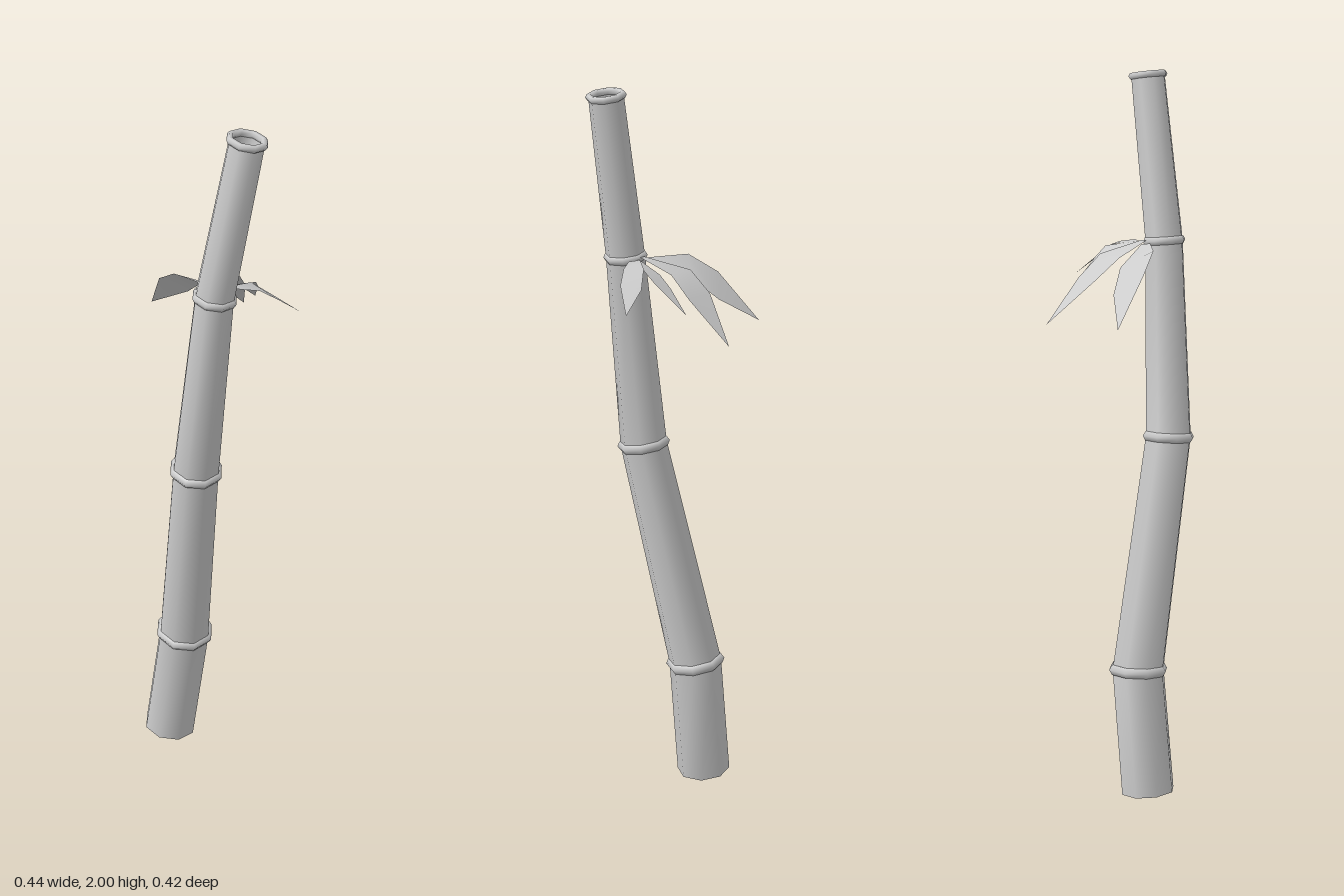
import * as THREE from 'three';

const SIDES = 8, PHASE = 0.28;
const UP = new THREE.Vector3(0, 1, 0);
const grey = new THREE.MeshStandardMaterial({ color: 0xcccccc });
const leafGrey = new THREE.MeshStandardMaterial({ color: 0xcccccc, side: THREE.DoubleSide });

function makeGeometry(points, index) {
  const g = new THREE.BufferGeometry().setFromPoints(points);
  g.setIndex(index);
  g.computeVertexNormals();
  return g;
}

// Octagonal tube through stations { p, axis, r }
function loft(stations) {
  const points = [], index = [];
  for (const { p, axis, r } of stations) {
    const q = new THREE.Quaternion().setFromUnitVectors(UP, axis);
    for (let i = 0; i < SIDES; i++) {
      const a = PHASE + (i / SIDES) * Math.PI * 2;
      points.push(new THREE.Vector3(Math.cos(a) * r, 0, Math.sin(a) * r).applyQuaternion(q).add(p));
    }
  }
  for (let s = 0; s < stations.length - 1; s++) {
    for (let i = 0; i < SIDES; i++) {
      const a = s * SIDES + i, b = s * SIDES + (i + 1) % SIDES;
      index.push(a, a + SIDES, b, b, a + SIDES, b + SIDES);
    }
  }
  return makeGeometry(points, index);
}

// Flat octagon closing a tube; tilt is the direction it faces
function disc(p, axis, r, down) {
  const g = new THREE.CircleGeometry(r, SIDES, PHASE);
  g.rotateX(-Math.PI / 2);
  g.scale(1, 1, 1);
  g.rotateY(-2 * PHASE);
  if (down) g.rotateX(Math.PI);
  if (down) g.rotateY(-2 * PHASE);
  g.applyQuaternion(new THREE.Quaternion().setFromUnitVectors(UP, axis));
  return g.translate(p.x, p.y, p.z);
}

// Leaf from paired edge points, ending in a single tip
function leaf(pairs, tip) {
  const points = pairs.flat().concat([tip]).map((c) => new THREE.Vector3(...c));
  const index = [];
  for (let i = 0; i < pairs.length - 1; i++) {
    const a = i * 2;
    index.push(a, a + 1, a + 2, a + 1, a + 3, a + 2);
  }
  const n = points.length - 1;
  index.push(n - 2, n - 1, n);
  return makeGeometry(points, index);
}

export function createModel() {
  const model = new THREE.Group();
  const add = (name, geometry, material = grey) => {
    const mesh = new THREE.Mesh(geometry, material);
    mesh.name = name;
    model.add(mesh);
    return mesh;
  };

  // Stalk joints from the ground up: x, y, z, radius
  const stations = [
    [-0.148, 0.01, -0.005, 0.076],
    [-0.101, 0.36, -0.007, 0.075],
    [-0.044, 1.0, 0.132, 0.066],
    [0.01, 1.54, 0.152, 0.054],
    [0.092, 1.983, 0.153, 0.048],
  ].map(([x, y, z, r]) => ({ p: new THREE.Vector3(x, y, z), r }));
  const last = stations.length - 1;
  stations.forEach((s, i) => {
    const before = stations[Math.max(i - 1, 0)].p, after = stations[Math.min(i + 1, last)].p;
    const dirIn = s.p.clone().sub(before).normalize(), dirOut = after.clone().sub(s.p).normalize();
    s.axis = dirIn.add(dirOut).normalize();
  });
  add('stalk', loft(stations));
  add('stalkBase', disc(stations[0].p, stations[0].axis, stations[0].r, true));

  // Swollen ring at each joint and around the mouth
  const rings = [['lowerRing', 0.069, 0.016], ['middleRing', 0.06, 0.015],
    ['upperRing', 0.049, 0.0125], ['mouthRing', 0.046, 0.01]];
  rings.forEach(([name, r, tube], i) => {
    const { p, axis } = stations[i + 1];
    const g = new THREE.TorusGeometry(r, tube, 6, SIDES);
    g.rotateX(Math.PI / 2).rotateY(-PHASE);
    const ring = add(name, g);
    ring.position.copy(p);
    ring.quaternion.setFromUnitVectors(UP, axis);
  });

  // Hollow mouth with a floor
  const top = stations[last];
  const floor = top.p.clone().addScaledVector(top.axis, -0.045);
  add('mouthWall', loft([{ p: top.p, axis: top.axis, r: 0.041 }, { p: floor, axis: top.axis, r: 0.038 }]));
  add('mouthFloor', disc(floor, top.axis, 0.038, false));

  // Drooping leaves fanning out behind the upper joint
  const leaves = [
    ['rightLeaf', [
      [[0.015, 1.535, 0.08], [-0.012, 1.54, 0.09]],
      [[-0.045, 1.49, -0.03], [-0.115, 1.54, 0.03]],
      [[-0.095, 1.43, -0.085], [-0.165, 1.49, -0.035]],
    ], [-0.205, 1.36, -0.145]],
    ['backLeaf', [
      [[0.026, 1.545, 0.09], [0.008, 1.545, 0.09]],
      [[0.052, 1.515, -0.03], [-0.039, 1.515, -0.03]],
      [[0.06, 1.455, -0.095], [-0.03, 1.46, -0.1]],
    ], [0.042, 1.34, -0.211]],
    ['smallLeaf', [
      [[0.046, 1.54, 0.09], [0.032, 1.54, 0.09]],
      [[0.102, 1.525, 0.02], [0.045, 1.51, 0.012]],
      [[0.103, 1.495, -0.015], [0.058, 1.48, -0.032]],
    ], [0.086, 1.42, -0.103]],
    ['leftLeaf', [
      [[0.07, 1.54, 0.097], [0.035, 1.54, 0.085]],
      [[0.118, 1.53, 0.079], [0.09, 1.53, 0.033]],
      [[0.165, 1.495, 0.056], [0.14, 1.485, 0.005]],
    ], [0.222, 1.43, -0.004]],
  ];
  leaves.forEach(([name, pairs, tip]) => add(name, leaf(pairs, tip), leafGrey));

  return model;
}
